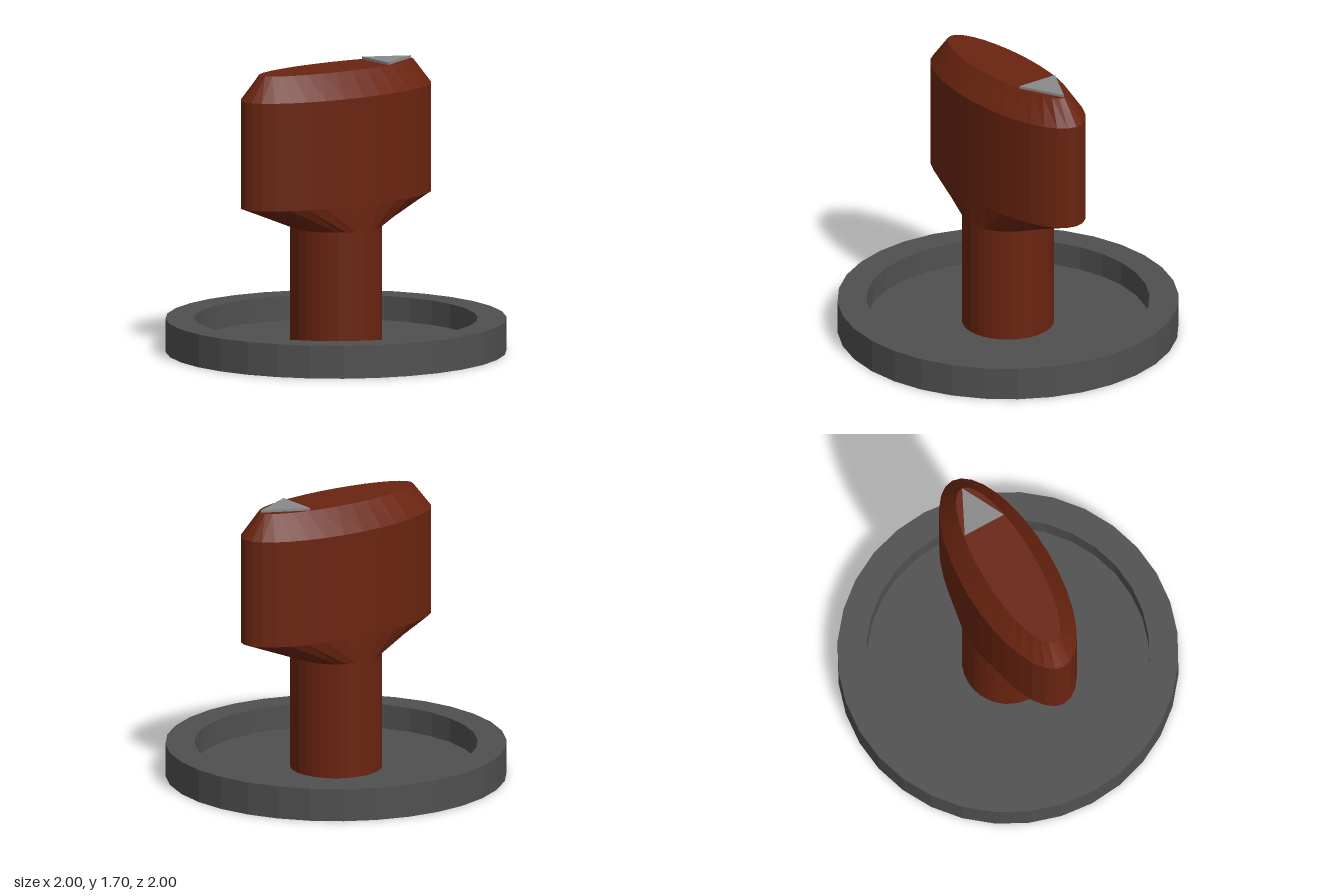
import * as THREE from 'three';

const baseGrey = new THREE.MeshStandardMaterial({ color: 0x505050, flatShading: true });
baseGrey.name = 'baseGrey';
const knobBrown = new THREE.MeshStandardMaterial({ color: 0x6a2410, flatShading: true });
knobBrown.name = 'knobBrown';
const pointerGrey = new THREE.MeshStandardMaterial({ color: 0x8a8a8a, flatShading: true });
pointerGrey.name = 'pointerGrey';

const SIDES = 32;

function addMesh(group, name, geometry, material) {
  const mesh = new THREE.Mesh(geometry, material);
  mesh.name = name;
  group.add(mesh);
}

function lathe(profile) {
  return new THREE.LatheGeometry(profile.map(([r, y]) => new THREE.Vector2(r, y)), SIDES);
}

// Skins a stack of ellipses [halfWidth, halfDepth, y], listed from bottom to top
function ellipseLoft(rings) {
  const geometry = lathe(rings.map(([, , y]) => [1, y]));
  const position = geometry.attributes.position;
  for (let i = 0; i < position.count; i++) {
    const [a, b] = rings[i % rings.length];
    position.setX(i, position.getX(i) * a);
    position.setZ(i, position.getZ(i) * b);
  }
  geometry.computeVertexNormals();
  return geometry;
}

export function createModel() {
  const model = new THREE.Group();
  model.name = 'rotaryKnob';

  // Round dish with a raised rim
  addMesh(model, 'baseDish', lathe([
    [0, 0], [1, 0], [1, 0.195], [0.83, 0.195], [0.83, 0.05], [0, 0.05],
  ]), baseGrey);

  // Round stem
  addMesh(model, 'stem', ellipseLoft([[0.27, 0.27, 0.05], [0.27, 0.27, 0.745]]), knobBrown);

  // Oval grip: flares out of the stem, then narrows to a bevelled flat top
  addMesh(model, 'grip', ellipseLoft([
    [0.27, 0.27, 0.745],
    [0.665, 0.27, 0.9],
    [0.665, 0.27, 1.54],
    [0.55, 0.16, 1.685],
    [0, 0, 1.685],
  ]), knobBrown);

  // Triangular pointer plate on the top, aimed at +x
  const triangle = new THREE.Shape([
    new THREE.Vector2(0.285, -0.13),
    new THREE.Vector2(0.545, 0),
    new THREE.Vector2(0.285, 0.13),
  ]);
  const pointer = new THREE.ExtrudeGeometry(triangle, { depth: 0.015, bevelEnabled: false });
  pointer.rotateX(-Math.PI / 2).translate(0, 1.685, 0);
  addMesh(model, 'pointer', pointer, pointerGrey);

  return model;
}
